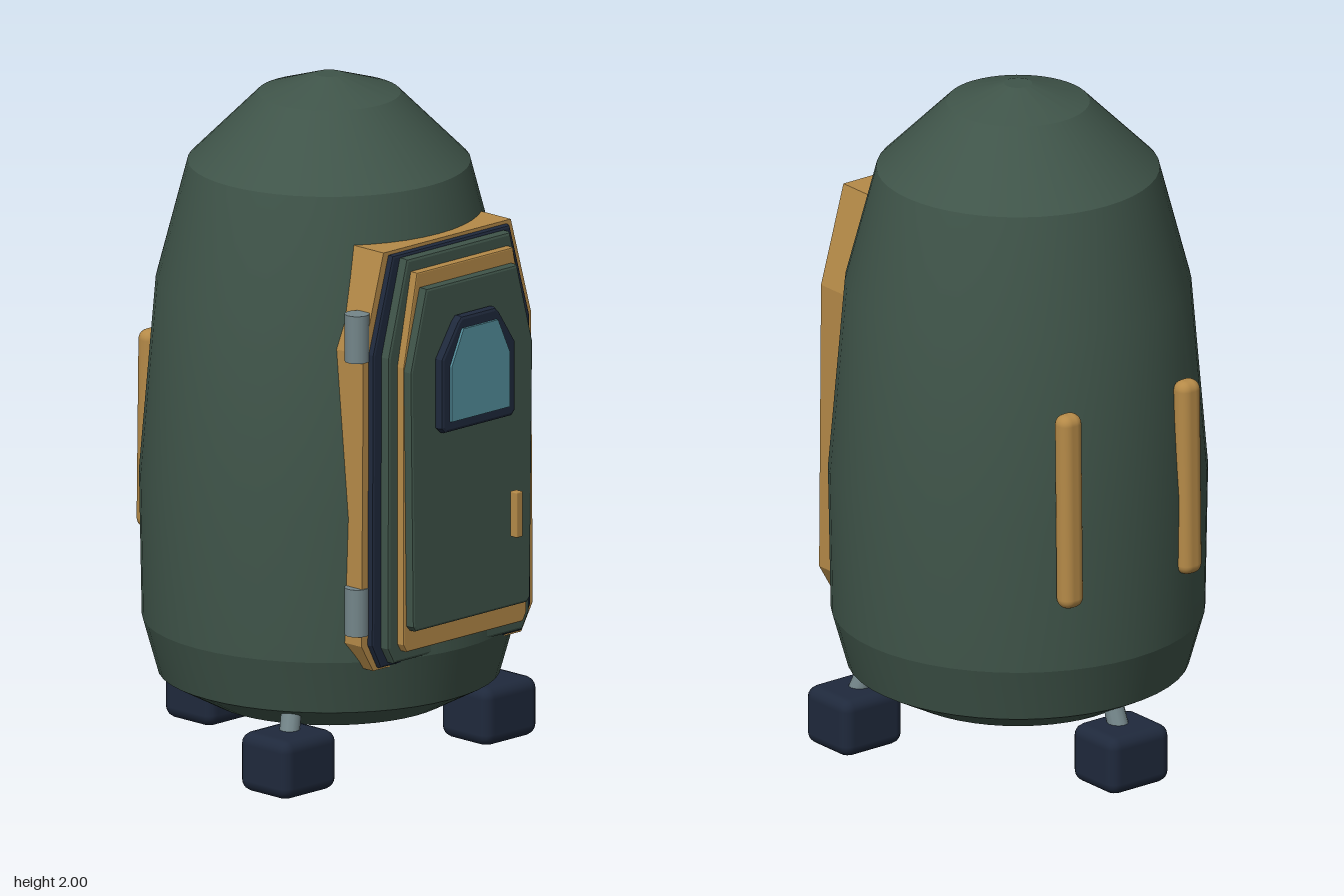
import * as THREE from 'three';
import { toCreasedNormals } from 'three/addons/utils/BufferGeometryUtils.js';
import { RoundedBoxGeometry } from 'three/addons/geometries/RoundedBoxGeometry.js';

const paint = (name, color) => {
  const m = new THREE.MeshStandardMaterial({ color });
  m.name = name;
  return m;
};

export function createModel() {
  const green = paint('hull green', 0x3f5449);
  const ochre = paint('ochre', 0xb58a48);
  const navy = paint('dark navy', 0x1f293c);
  const grey = paint('metal grey', 0x74868a);
  const glass = paint('window glass', 0x548f9d);

  const group = new THREE.Group();
  const add = (name, geometry, material, x = 0, y = 0, z = 0) => {
    const mesh = new THREE.Mesh(geometry, material);
    mesh.name = name;
    mesh.position.set(x, y, z);
    group.add(mesh);
    return mesh;
  };
  const lathe = (points, segments, crease) => toCreasedNormals(
    new THREE.LatheGeometry(points.map(([r, y]) => new THREE.Vector2(r, y)), segments), crease);

  // Mirrored plate: right-hand outline from bottom to top, between two depths
  const plate = (name, half, z0, z1, material, bevel = 0) => {
    const outline = [...half, ...half.slice().reverse().map(([x, y]) => [-x, y])];
    const geometry = new THREE.ExtrudeGeometry(
      new THREE.Shape(outline.map(([x, y]) => new THREE.Vector2(x, y))), {
        depth: z1 - z0 - 2 * bevel,
        bevelEnabled: bevel > 0,
        bevelThickness: bevel,
        bevelSize: bevel,
        bevelOffset: -bevel,
        bevelSegments: 2,
      });
    return add(name, geometry, material, 0, 0, z0 + bevel);
  };

  // Hull
  const hullZ = -0.03;
  add('hull', lathe([
    [0, 0.165], [0.35, 0.165], [0.49, 0.24], [0.535, 0.4], [0.543, 0.83],
    [0.495, 1.4], [0.405, 1.745], [0.205, 1.945], [0.04, 2], [0, 2],
  ], 48, 0.25), green, 0, 0, hullZ);

  // Ring under the hull
  add('baseRing', lathe([
    [0.18, 0.17], [0.18, 0.15], [0.19, 0.14], [0.24, 0.14], [0.25, 0.15], [0.25, 0.17],
  ], 40, 0.5), grey, 0, 0, hullZ);

  // Doorway and layered door
  plate('doorFrame', [[0.3, 0.38], [0.347, 0.46], [0.34, 1.32], [0.258, 1.61]], 0.2, 0.445, ochre);
  plate('doorSeal', [[0.285, 0.388], [0.322, 0.46], [0.318, 1.32], [0.238, 1.6]], 0.43, 0.463, navy, 0.008);
  plate('doorSlab', [[0.26, 0.402], [0.287, 0.45], [0.285, 1.31], [0.21, 1.59]], 0.455, 0.492, green, 0.009);
  plate('doorTrim', [[0.235, 0.437], [0.249, 0.46], [0.249, 1.28], [0.195, 1.552]], 0.48, 0.517, ochre, 0.004);
  plate('doorPanel', [[0.225, 0.5], [0.238, 0.515], [0.248, 1.27], [0.185, 1.508]], 0.51, 0.545, green, 0.008);

  // Window
  plate('windowFrame', [[0.135, 1.075], [0.15, 1.09], [0.15, 1.295], [0.085, 1.395], [0.07, 1.41]],
    0.54, 0.573, navy, 0.01);
  plate('windowPane', [[0.118, 1.108], [0.118, 1.27], [0.07, 1.375]], 0.572, 0.581, glass);

  // Door handle and hinges
  add('doorHandle', new RoundedBoxGeometry(0.026, 0.135, 0.028, 1, 0.004), ochre, 0.14, 0.787, 0.585);
  for (const y of [0.56, 1.37]) {
    add('hinge', new THREE.CylinderGeometry(0.036, 0.036, 0.14, 16), grey, -0.335, y, 0.415);
  }

  // Grab bars on the back
  for (const side of [-1, 1]) {
    const bar = add('grabBar', new RoundedBoxGeometry(0.076, 0.59, 0.064, 3, 0.03), ochre,
      side * 0.217, 0.895, -0.533);
    bar.rotation.x = 0.014;
  }

  // Three feet, each with a short leaning leg
  for (const [x, z] of [[-0.407, 0.21], [0.407, 0.21], [0, -0.5]]) {
    add('foot', new RoundedBoxGeometry(0.22, 0.175, 0.195, 2, 0.035), navy, x, 0.092, z);
    const low = new THREE.Vector3(x, 0.14, z);
    const high = new THREE.Vector3(x * 0.87, 0.29, hullZ + (z - hullZ) * 0.87);
    const axis = high.clone().sub(low);
    const leg = add('leg', new THREE.CylinderGeometry(0.03, 0.03, axis.length(), 12), grey);
    leg.position.copy(low).add(high).multiplyScalar(0.5);
    leg.quaternion.setFromUnitVectors(new THREE.Vector3(0, 1, 0), axis.normalize());
  }

  return group;
}
